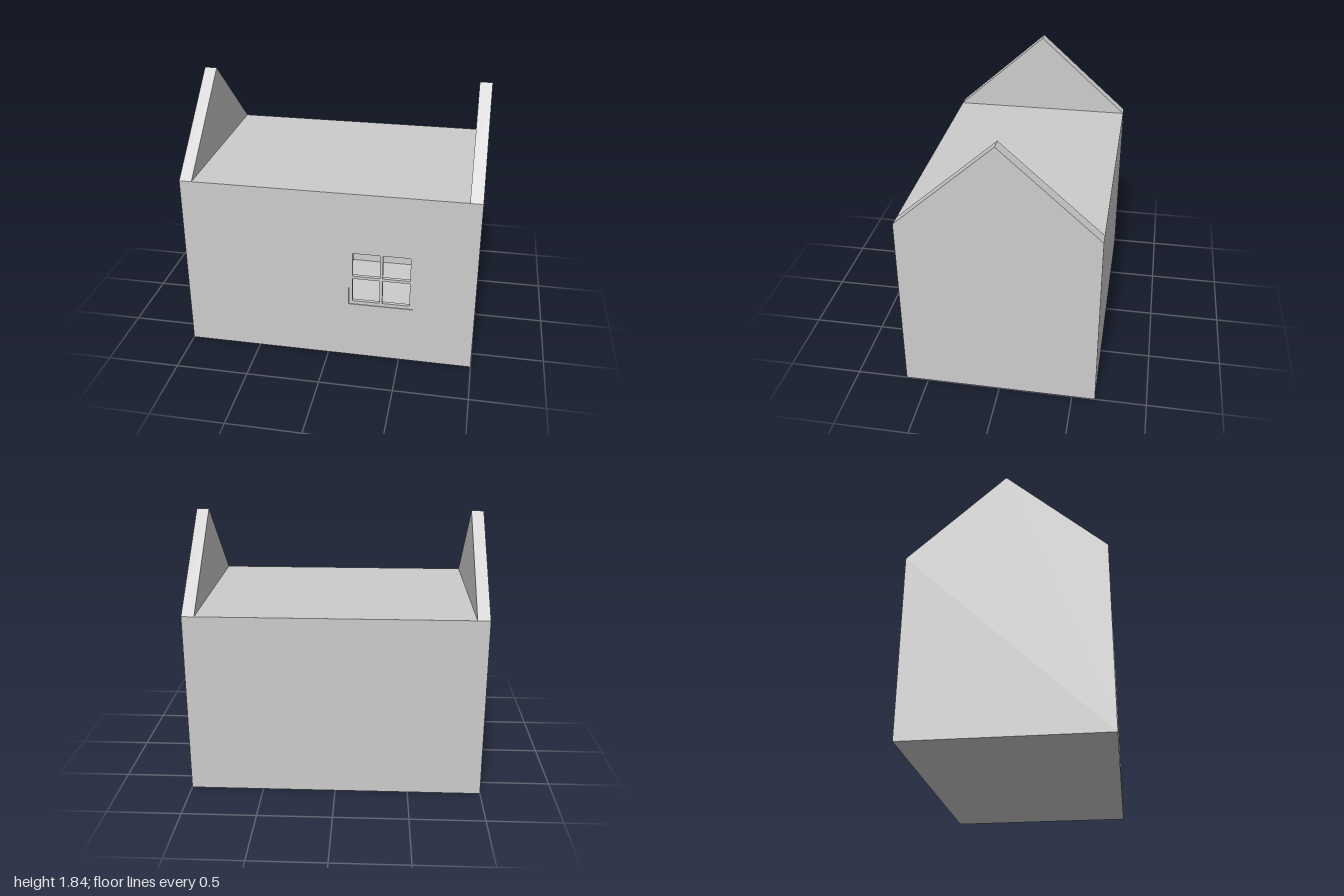
import * as THREE from 'three';

const HALF_Z = 0.655, EAVES = 1.255, RIDGE = 1.84, GABLE = 0.085, WALL = 0.03;
const INNER_X = 1 - GABLE;

// Adds a rectangular hole to a shape
function cutRect(shape, x0, y0, x1, y1) {
  shape.holes.push(new THREE.Path([
    new THREE.Vector2(x0, y0), new THREE.Vector2(x0, y1),
    new THREE.Vector2(x1, y1), new THREE.Vector2(x1, y0),
  ]));
}

function rectShape(x0, y0, x1, y1) {
  return new THREE.Shape([
    new THREE.Vector2(x0, y0), new THREE.Vector2(x1, y0),
    new THREE.Vector2(x1, y1), new THREE.Vector2(x0, y1),
  ]);
}

const extrude = (shape, depth) =>
  new THREE.ExtrudeGeometry(shape, { depth, bevelEnabled: false });

export function createModel() {
  const house = new THREE.Group();
  house.name = 'house';
  const plaster = new THREE.MeshStandardMaterial({ color: 0xcccccc });
  plaster.name = 'plain grey';

  const add = (name, geometry, x = 0, y = 0, z = 0) => {
    const mesh = new THREE.Mesh(geometry, plaster);
    mesh.name = name;
    mesh.position.set(x, y, z);
    house.add(mesh);
    return mesh;
  };

  // Gable walls rising above the flat ceiling
  const gable = new THREE.Shape([
    new THREE.Vector2(-HALF_Z, 0), new THREE.Vector2(HALF_Z, 0),
    new THREE.Vector2(HALF_Z, EAVES), new THREE.Vector2(0, RIDGE),
    new THREE.Vector2(-HALF_Z, EAVES),
  ]);
  const gableGeometry = extrude(gable, GABLE).rotateY(Math.PI / 2);
  add('leftGableWall', gableGeometry, INNER_X);
  add('rightGableWall', gableGeometry, -1);

  // Front wall with the window opening
  const win = { x0: 0.145, y0: 0.42, x1: 0.585, y1: 0.84 };
  const front = rectShape(-INNER_X, 0, INNER_X, EAVES);
  cutRect(front, win.x0, win.y0, win.x1, win.y1);
  add('frontWall', extrude(front, WALL), 0, 0, HALF_Z - WALL);

  // Window frame with four open panes
  const frame = rectShape(win.x0, win.y0, win.x1, win.y1);
  for (const [x0, x1] of [[0.17, 0.355], [0.375, 0.56]]) {
    for (const [y0, y1] of [[0.445, 0.62], [0.64, 0.815]]) cutRect(frame, x0, y0, x1, y1);
  }
  add('windowFrame', extrude(frame, 0.025), 0, 0, HALF_Z - 0.03);

  // Back wall, floor and ceiling close the hollow room
  const width = 2 * INNER_X;
  add('backWall', new THREE.BoxGeometry(width, EAVES, WALL), 0, EAVES / 2, -HALF_Z + WALL / 2);
  const depth = 2 * (HALF_Z - WALL);
  const slab = new THREE.BoxGeometry(width, 0.015, depth);
  add('floor', slab, 0, 0.0075, 0);
  add('ceiling', slab, 0, EAVES - 0.0075, 0);

  return house;
}
